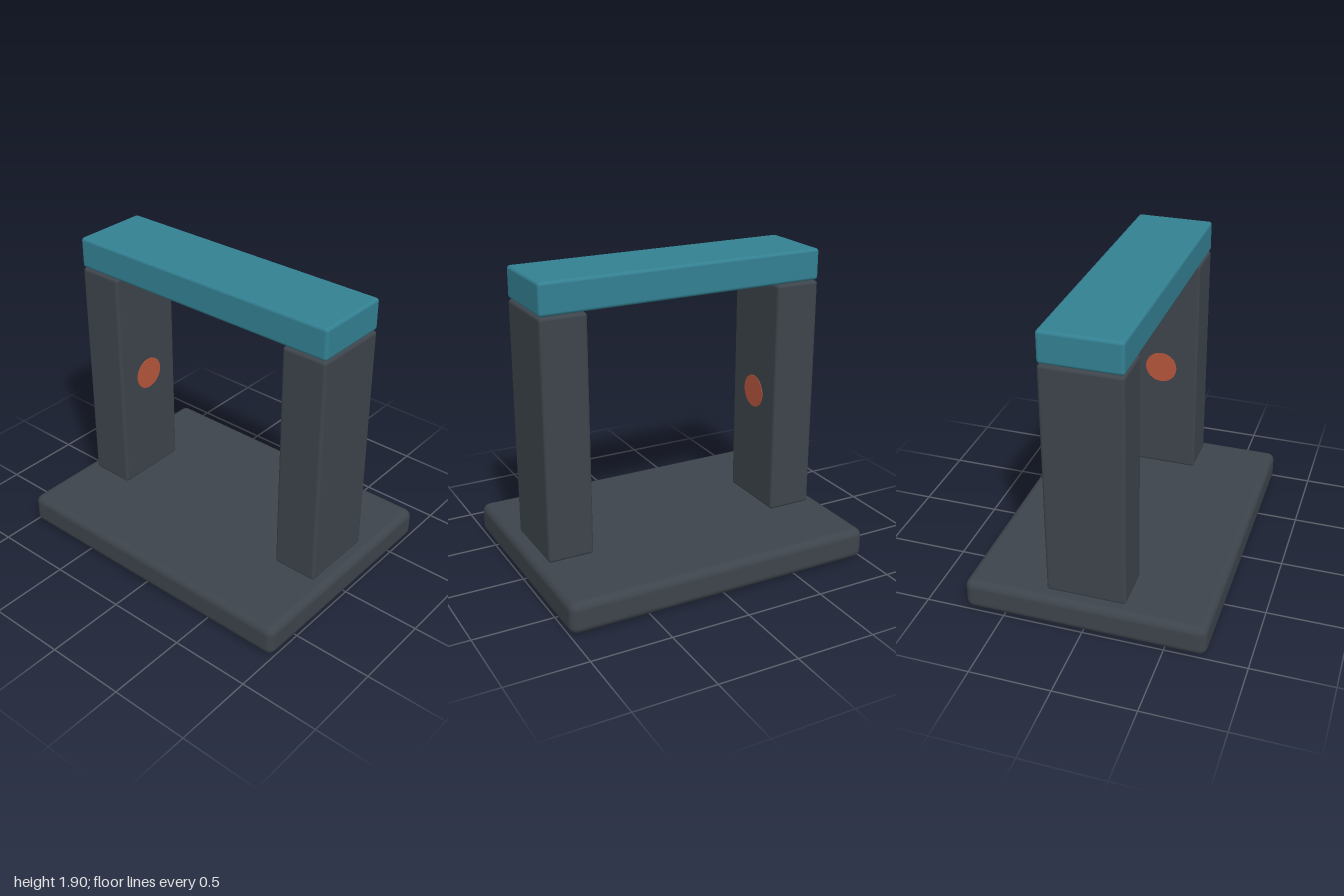
import * as THREE from 'three';
import { RoundedBoxGeometry } from 'three/addons/geometries/RoundedBoxGeometry.js';

const dark = new THREE.MeshStandardMaterial({ color: 0x3d444b });
const teal = new THREE.MeshStandardMaterial({ color: 0x338092 });
const rust = new THREE.MeshStandardMaterial({ color: 0xb5563c });

function add(parent, name, geometry, material, x, y, z) {
  const mesh = new THREE.Mesh(geometry, material);
  mesh.name = name;
  mesh.position.set(x, y, z);
  parent.add(mesh);
  return mesh;
}

export function createModel() {
  const model = new THREE.Group();
  model.name = 'portalFrame';

  // Heavy base plate, resting a hair above its foot pads
  add(model, 'base', new RoundedBoxGeometry(2, 0.198, 1.5, 3, 0.05), dark, 0, 0.101, 0);

  // Crossbar over both posts
  add(model, 'crossbar', new RoundedBoxGeometry(1.84, 0.195, 0.49, 3, 0.02), teal, 0, 1.8025, 0);

  const postGeometry = new RoundedBoxGeometry(0.29, 1.5, 0.49, 3, 0.02);
  const padGeometry = new THREE.BoxGeometry(0.3, 0.04, 0.9);
  const sensorGeometry = new THREE.CylinderGeometry(0.105, 0.105, 0.03, 32).rotateZ(Math.PI / 2);

  for (const side of [1, -1]) {
    const prefix = side > 0 ? 'left' : 'right';
    add(model, prefix + 'Post', postGeometry, dark, side * 0.775, 0.95, 0);
    // Round inset facing the opening
    add(model, prefix + 'Disc', sensorGeometry, rust, side * 0.641, 0.95, 0);
    // Foot pad sunk into the underside
    add(model, prefix + 'FootPad', padGeometry, teal, side * 0.75, 0.02, 0);
  }
  return model;
}
